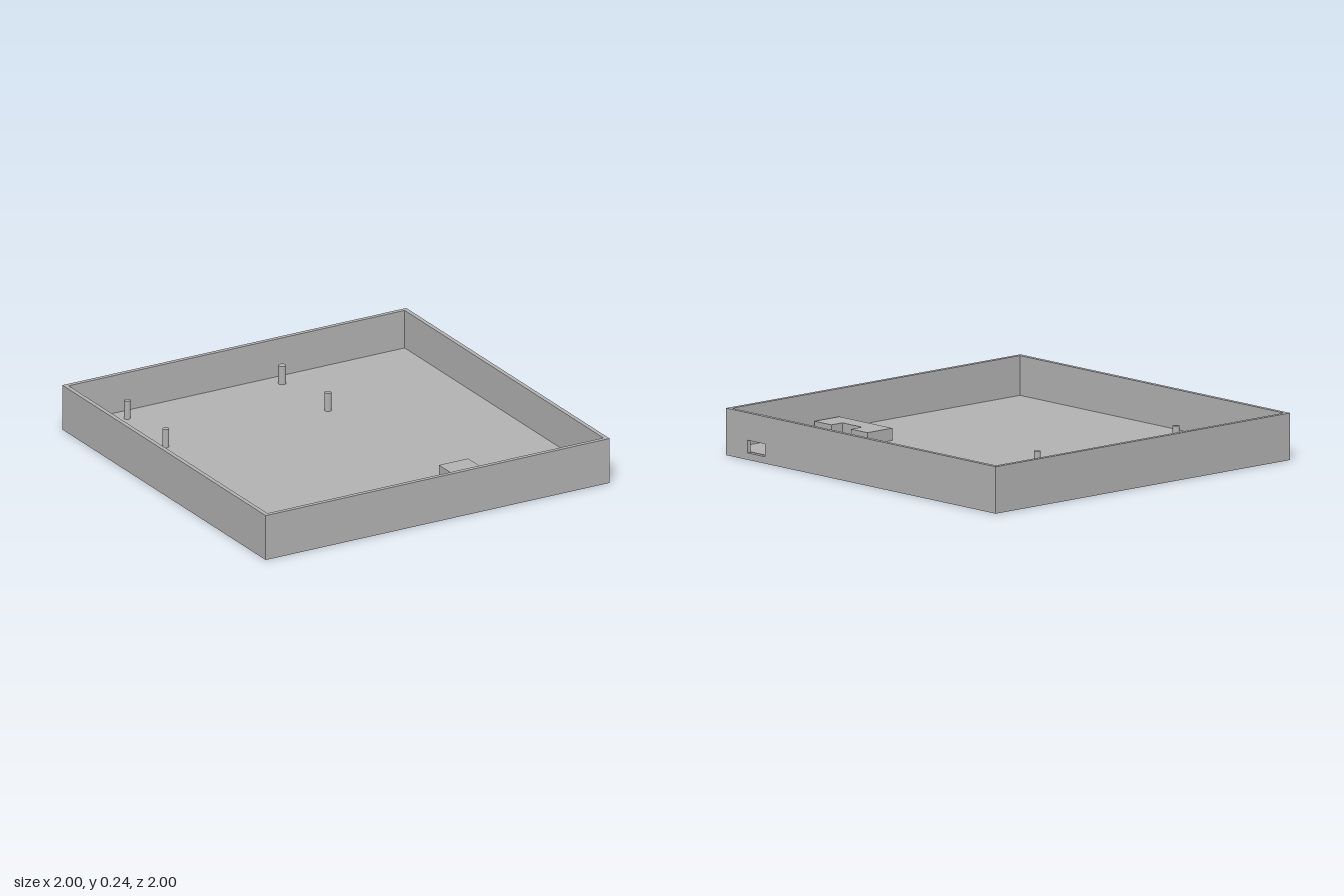
import * as THREE from 'three';

const HEIGHT = 0.24, WALL = 0.023, FLOOR_BOTTOM = 0.025, FLOOR_TOP = 0.037;
const INNER = 1 - WALL;

const outline = (points) => points.map(([x, y]) => new THREE.Vector2(x, y));

export function createModel() {
  const model = new THREE.Group();
  model.name = 'openTray';
  const grey = new THREE.MeshStandardMaterial({ color: 0xb2b2b2 });
  grey.name = 'grey';

  function add(name, geometry, x = 0, y = 0, z = 0) {
    const mesh = new THREE.Mesh(geometry, grey);
    mesh.name = name;
    mesh.position.set(x, y, z);
    model.add(mesh);
    return mesh;
  }

  // Thin floor, raised above the bottom rim of the walls
  add('floor', new THREE.BoxGeometry(2 * INNER, FLOOR_TOP - FLOOR_BOTTOM, 2 * INNER),
    0, (FLOOR_TOP + FLOOR_BOTTOM) / 2, 0);

  // Plain walls
  const mid = 1 - WALL / 2;
  add('frontWall', new THREE.BoxGeometry(2 * INNER, HEIGHT, WALL), 0, HEIGHT / 2, mid);
  add('backWall', new THREE.BoxGeometry(2 * INNER, HEIGHT, WALL), 0, HEIGHT / 2, -mid);
  add('rightWall', new THREE.BoxGeometry(WALL, HEIGHT, 2), -mid, HEIGHT / 2, 0);

  // Left wall with a rectangular port; the shape's x runs along -z
  const wall = new THREE.Shape(outline([[-1, 0], [1, 0], [1, HEIGHT], [-1, HEIGHT]]));
  wall.holes.push(new THREE.Path(outline(
    [[-0.84, 0.035], [-0.84, 0.1], [-0.71, 0.1], [-0.71, 0.035]])));
  const wallGeometry = new THREE.ExtrudeGeometry(wall, { depth: WALL, bevelEnabled: false });
  wallGeometry.rotateY(Math.PI / 2);
  add('leftWall', wallGeometry, INNER, 0, 0);

  // Notched holder block facing the port; the shape's y runs along -z
  const block = new THREE.Shape(outline([
    [0.26, -0.965], [0.43, -0.965], [0.43, -0.84], [0.355, -0.84],
    [0.355, -0.695], [0.43, -0.695], [0.43, -0.573], [0.26, -0.573],
  ]));
  const blockGeometry = new THREE.ExtrudeGeometry(block, { depth: 0.1 - FLOOR_BOTTOM, bevelEnabled: false });
  blockGeometry.rotateX(-Math.PI / 2);
  add('holderBlock', blockGeometry, 0, FLOOR_BOTTOM, 0);

  // Four mounting pegs, poking slightly through the floor
  const pegBottom = 0.018, pegTop = 0.135;
  [[-0.69, -0.885, 0.016], [0.212, -0.888, 0.02], [-0.715, -0.465, 0.017], [0.228, -0.465, 0.017]]
    .forEach(([x, z, r], i) => add(`peg${i + 1}`,
      new THREE.CylinderGeometry(r, r, pegTop - pegBottom, 24), x, (pegTop + pegBottom) / 2, z));

  return model;
}
